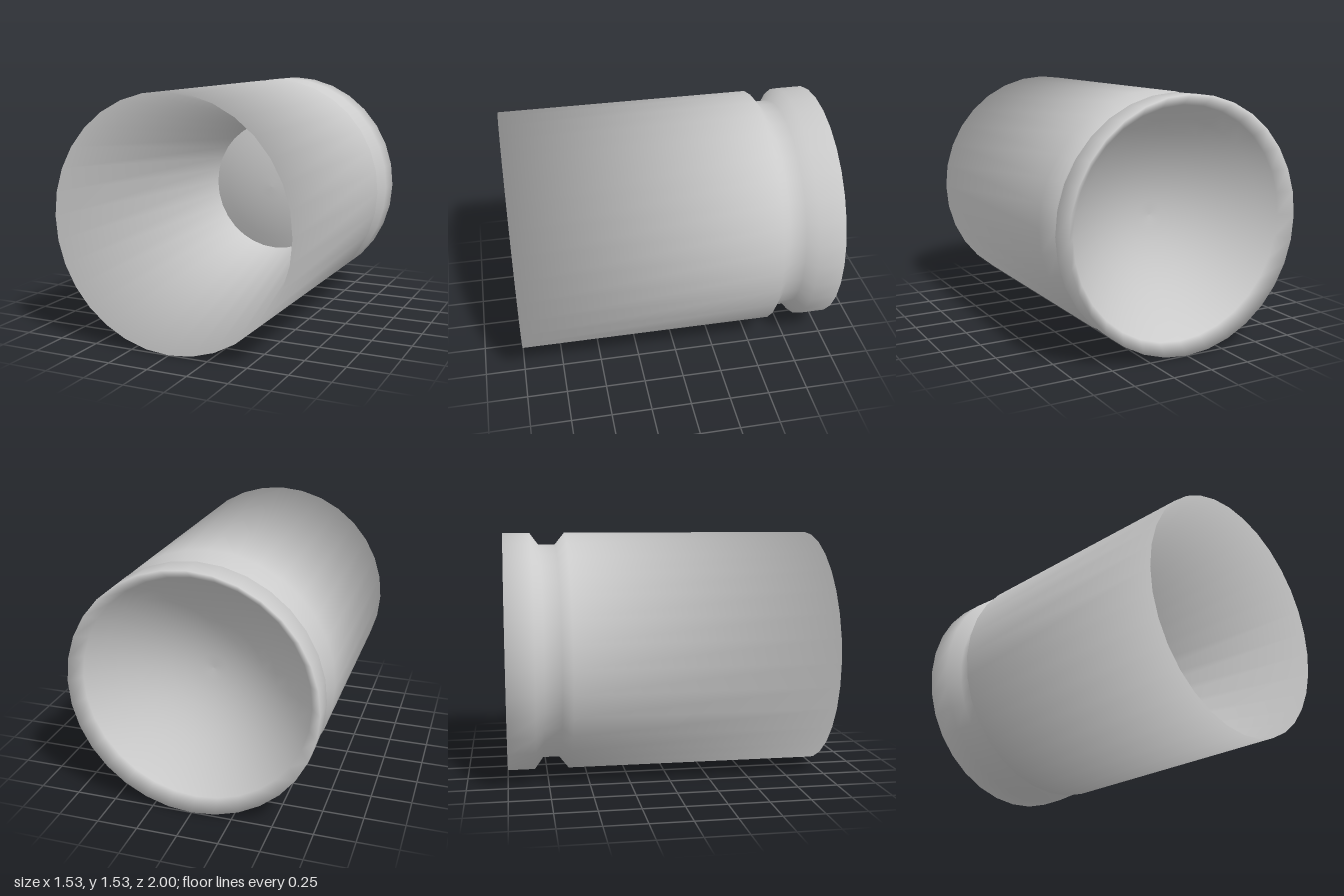
import * as THREE from 'three';

const SIDES = 32;
const RADIUS = 0.765;

// Revolves [radius, z] pairs about the z axis
function revolve(name, pairs, material) {
  const points = pairs.map(([r, z]) => new THREE.Vector2(r, z));
  const geometry = new THREE.LatheGeometry(points, SIDES);
  geometry.rotateX(Math.PI / 2);
  const mesh = new THREE.Mesh(geometry, material);
  mesh.name = name;
  mesh.position.y = RADIUS;
  return mesh;
}

// Dome profile from the apex out to the given radius
function dome(apexZ, edgeRadius, edgeZ, steps) {
  const pairs = [];
  for (let i = 0; i <= steps; i++) {
    const t = i / steps;
    pairs.push([edgeRadius * t, apexZ + (edgeZ - apexZ) * t * t]);
  }
  return pairs;
}

export function createModel() {
  const group = new THREE.Group();
  group.name = 'casing';
  const material = new THREE.MeshStandardMaterial({ color: 0xcccccc, side: THREE.DoubleSide });

  // Rear dish, rim, groove, straight wall and tapering bore in one smooth skin
  group.add(revolve('shell', [
    ...dome(-0.56, 0.7, -0.92, 8),
    [RADIUS, -1],
    [RADIUS, -0.83],
    [0.69, -0.775],
    [0.69, -0.67],
    [RADIUS, -0.61],
    [RADIUS, 1],
    [0.465, -0.62],
  ], material));

  // Slightly domed floor closing the bore
  group.add(revolve('boreFloor', dome(-0.54, 0.465, -0.62, 5).reverse(), material));

  return group;
}
